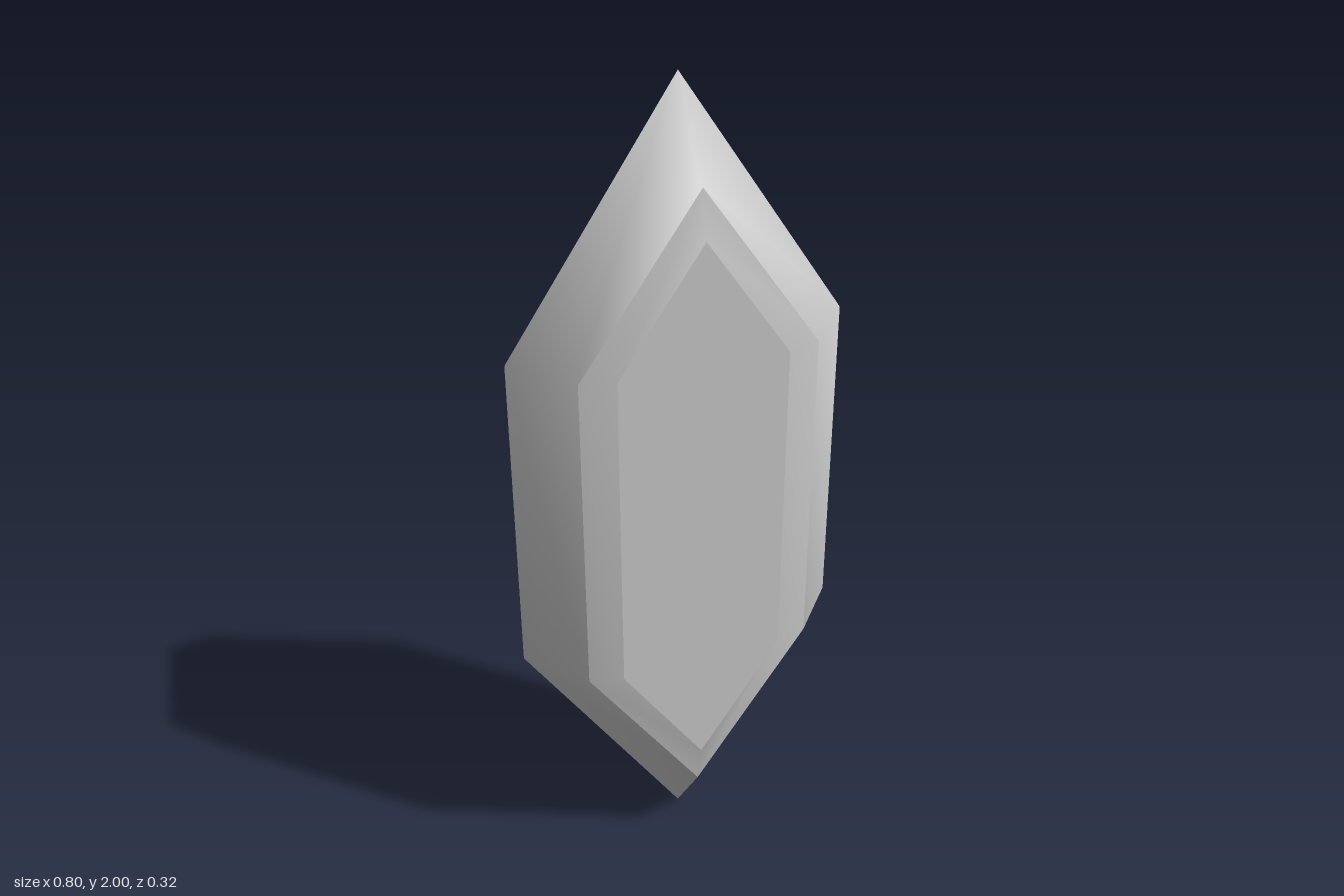
import * as THREE from 'three';

const MID = 1; // height of the crystal's centre
const SHOULDER = 0.4; // half-length of the straight sides

// Elongated hexagon, counter-clockwise seen from the front
const hexagon = (halfWidth, halfHeight) => [
  [0, halfHeight], [-halfWidth, SHOULDER], [-halfWidth, -SHOULDER],
  [0, -halfHeight], [halfWidth, -SHOULDER], [halfWidth, SHOULDER],
].map(([x, y]) => new THREE.Vector2(x, y + MID));

// Sloping ring between two hexagons, smooth around the ring
function bandGeometry(outer, inner) {
  const positions = [];
  for (const ring of [outer, inner]) {
    for (const p of hexagon(ring.w, ring.h)) positions.push(p.x, p.y, ring.z);
  }
  const index = [];
  for (let i = 0; i < 6; i++) {
    const j = (i + 1) % 6;
    index.push(i, j, j + 6, i, j + 6, i + 6);
  }
  const geometry = new THREE.BufferGeometry();
  geometry.setAttribute('position', new THREE.Float32BufferAttribute(positions, 3));
  geometry.setIndex(index);
  geometry.computeVertexNormals();
  return geometry;
}

export function createModel() {
  const model = new THREE.Group();
  model.name = 'crystal';
  const material = new THREE.MeshStandardMaterial({ color: 0xcccccc });

  const girdle = { w: 0.4, h: 1, z: 0 };
  const crown = { w: 0.28, h: 0.8, z: 0.14 };
  const table = { w: 0.2, h: 0.69, z: 0.162 };

  const parts = {
    outerFacets: bandGeometry(girdle, crown),
    bevel: bandGeometry(crown, table),
    flatFace: new THREE.ShapeGeometry(new THREE.Shape(hexagon(table.w, table.h)))
      .translate(0, 0, table.z),
  };

  // Identical front and back halves
  for (const side of ['front', 'back']) {
    const half = new THREE.Group();
    half.name = side + 'Half';
    for (const [name, geometry] of Object.entries(parts)) {
      const mesh = new THREE.Mesh(geometry, material);
      mesh.name = name;
      half.add(mesh);
    }
    if (side === 'back') half.rotation.y = Math.PI;
    model.add(half);
  }
  return model;
}
